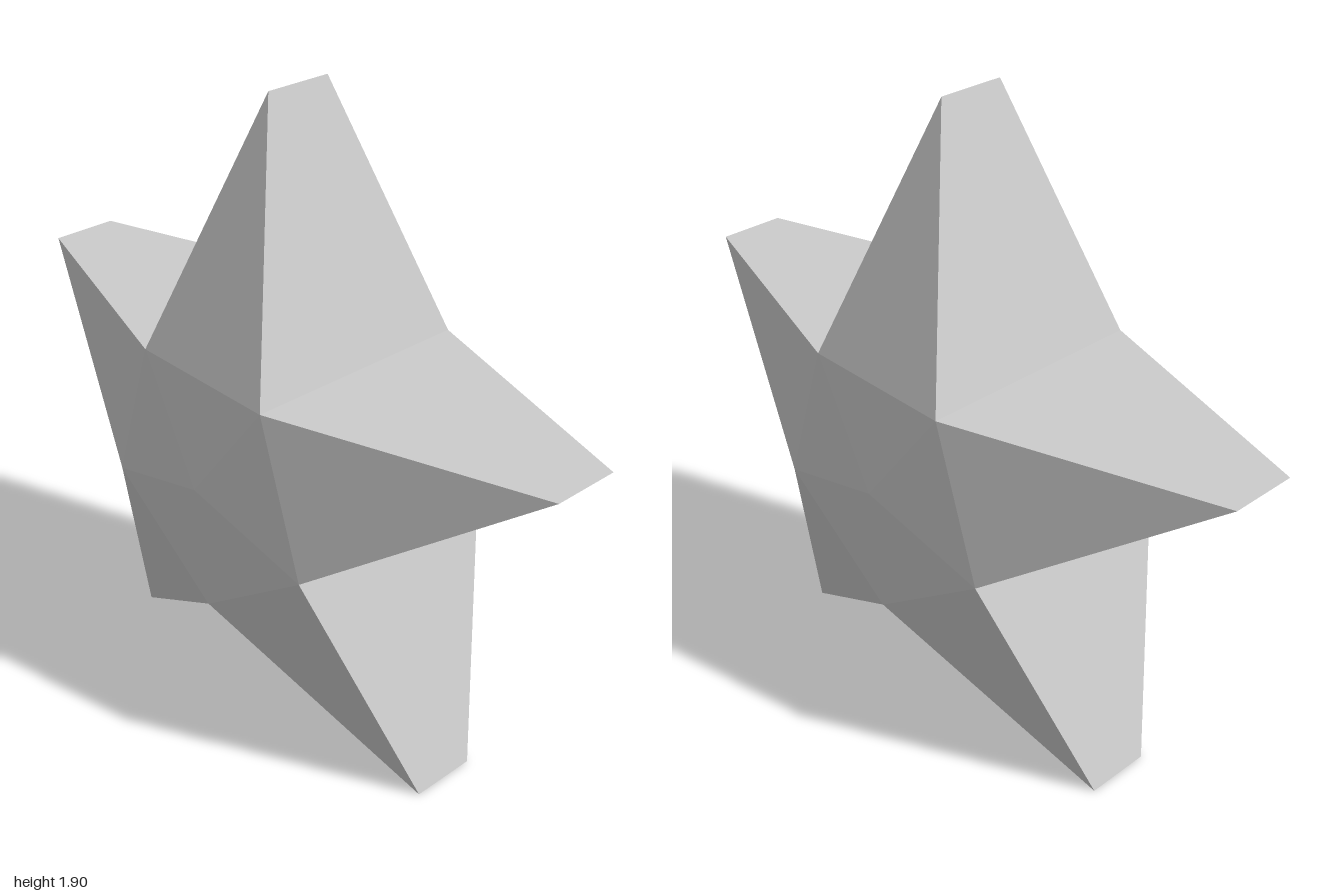
import * as THREE from 'three';

const OUTER = 1.0515, INNER = 0.4016, CENTER_Y = 0.8507;
const TIP_Z = 0.1, NOTCH_Z = 0.345, HUB_Z = 0.38;

// Point on the star outline; step 0 is the top tip, odd steps are notches.
function point(step, side) {
  const angle = Math.PI / 2 + step * Math.PI / 5;
  const tip = step % 2 === 0;
  const r = tip ? OUTER : INNER;
  return [r * Math.cos(angle), CENTER_Y + r * Math.sin(angle), side * (tip ? TIP_Z : NOTCH_Z)];
}

function facetedMesh(name, triangles, material) {
  const geometry = new THREE.BufferGeometry();
  geometry.setAttribute('position', new THREE.Float32BufferAttribute(triangles.flat(2), 3));
  geometry.computeVertexNormals();
  const mesh = new THREE.Mesh(geometry, material);
  mesh.name = name;
  return mesh;
}

export function createModel() {
  const group = new THREE.Group();
  group.name = 'star';
  const grey = new THREE.MeshStandardMaterial({ color: 0xcccccc, flatShading: true });
  grey.name = 'light grey';

  // Shallow five-sided domes on front and back
  for (const side of [1, -1]) {
    const dome = [];
    for (let i = 0; i < 5; i++) {
      const a = point(2 * i - 1, side), b = point(2 * i + 1, side);
      const hub = [0, CENTER_Y, side * HUB_Z];
      dome.push(side > 0 ? [hub, a, b] : [hub, b, a]);
    }
    group.add(facetedMesh(side > 0 ? 'frontDome' : 'backDome', dome, grey));
  }

  // Five arms: sloping front and back faces, and two side walls each
  for (let i = 0; i < 5; i++) {
    const s = 2 * i;
    const arm = [
      [point(s - 1, 1), point(s, 1), point(s + 1, 1)],
      [point(s + 1, -1), point(s, -1), point(s - 1, -1)],
    ];
    for (const k of [s - 1, s]) {
      const a = point(k, 1), b = point(k + 1, 1), c = point(k + 1, -1), d = point(k, -1);
      arm.push([a, d, c], [a, c, b]);
    }
    group.add(facetedMesh('arm' + (i + 1), arm, grey));
  }
  return group;
}
